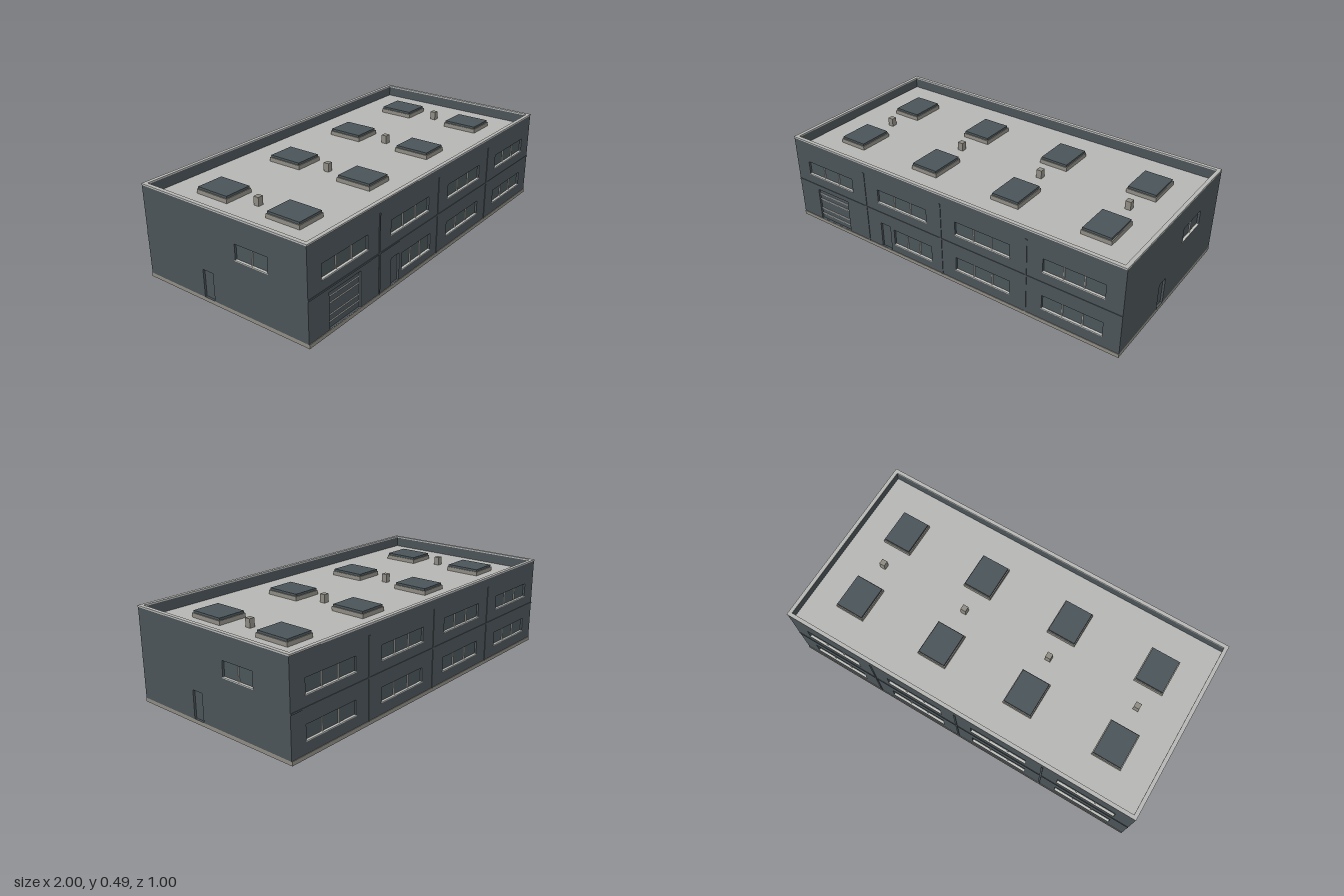
import * as THREE from 'three';

const mat = (name, color) => {
  const m = new THREE.MeshStandardMaterial({ color });
  m.name = name;
  return m;
};

export function createModel() {
  const model = new THREE.Group();
  model.name = 'officeBlock';
  const wall = mat('slateWall', 0x4a5357);
  const glass = mat('darkGlass', 0x4a5458);
  const roofing = mat('paleRoof', 0xb6b6b4);
  const trim = mat('lightTrim', 0xc0c0bc);
  const stone = mat('warmGreyStone', 0x8e8b82);

  const box = (parent, name, material, w, h, d, x, y, z) => {
    const mesh = new THREE.Mesh(new THREE.BoxGeometry(w, h, d), material);
    mesh.name = name;
    mesh.position.set(x, y, z);
    parent.add(mesh);
    return mesh;
  };

  const BASE = 0.02, TOP = 0.484, T = 0.015, FACE = 0.497, ROOF = 0.43;

  // Plinth, inner body and roof deck
  box(model, 'plinth', stone, 2, BASE, 1, 0, BASE / 2, 0);
  box(model, 'innerBody', glass, 2 - 2 * T, ROOF - 0.01 - BASE, 2 * (FACE - T), 0, (ROOF - 0.01 + BASE) / 2, 0);
  box(model, 'roofDeck', roofing, 2 - 2 * T, 0.01, 2 * (FACE - T), 0, ROOF - 0.005, 0);

  // Wall panel with openings; local z = 0 is the inner face, z = T the outer face
  function facade(name, width, openings) {
    const group = new THREE.Group();
    group.name = name;
    const half = width / 2;
    const shape = new THREE.Shape([
      [-half, BASE], [half, BASE], [half, TOP], [-half, TOP],
    ].map(p => new THREE.Vector2(...p)));
    for (const { x0, x1, y0, y1 } of openings) {
      shape.holes.push(new THREE.Path([
        [x0, y0], [x0, y1], [x1, y1], [x1, y0],
      ].map(p => new THREE.Vector2(...p))));
    }
    const panel = new THREE.Mesh(new THREE.ExtrudeGeometry(shape, { depth: T, bevelEnabled: false }), wall);
    panel.name = 'wallPanel';
    group.add(panel);

    for (const { kind, x0, x1, y0, y1, panes } of openings) {
      const w = x1 - x0, h = y1 - y0, cx = (x0 + x1) / 2, cy = (y0 + y1) / 2;
      box(group, kind, kind === 'window' ? glass : wall, w, h, 0.004, cx, cy, 0.002);
      if (kind === 'window') {
        box(group, 'windowSill', trim, w + 0.004, 0.005, T + 0.002, cx, y0, (T + 0.002) / 2);
        for (let i = 1; i < panes; i++) {
          box(group, 'mullion', trim, 0.006, h, 0.005, x0 + (w * i) / panes, cy, 0.0065);
        }
      }
      if (kind === 'garageDoor') {
        for (const y of [0.178, 0.144, 0.085, 0.052]) {
          box(group, 'garageDoorRib', trim, w, 0.005, 0.004, cx, y, 0.006);
        }
      }
    }
    model.add(group);
    return group;
  }

  const win = (cx, w, y0, y1, panes) => ({ kind: 'window', x0: cx - w / 2, x1: cx + w / 2, y0, y1, panes });
  const door = (kind, x0, x1, y1) => ({ kind, x0, x1, y0: BASE + 0.001, y1 });
  const bays = [-0.75, -0.25, 0.25, 0.75];
  const upper = bays.map(x => win(x, 0.32, 0.29, 0.365, 3));

  // Long facades
  const front = facade('frontFacade', 2, [
    ...upper,
    door('garageDoor', -0.863, -0.641, 0.207),
    door('frontDoor', -0.405, -0.34, 0.166),
    win(-0.19, 0.25, 0.065, 0.156, 3),
    win(0.25, 0.32, 0.08, 0.156, 3),
    win(0.75, 0.32, 0.08, 0.156, 3),
  ]);
  const back = facade('backFacade', 2, [...upper, ...bays.map(x => win(x, 0.32, 0.08, 0.156, 3))]);
  front.position.z = FACE - T;
  back.position.z = -(FACE - T);
  back.rotation.y = Math.PI;

  // Panel joint strips standing slightly proud of the long facades
  for (const side of [front, back]) {
    for (const x of [-0.5, 0, 0.5]) {
      box(side, 'verticalJoint', wall, 0.01, 0.42, 0.003, x, 0.225, T + 0.0015);
    }
    box(side, 'floorJoint', wall, 2, 0.008, 0.003, 0, 0.232, T + 0.0015);
  }

  // Short end walls, identical under a half turn
  for (const s of [1, -1]) {
    const end = facade(s > 0 ? 'leftEndWall' : 'rightEndWall', 2 * (FACE - T), [
      win(0.185, 0.19, 0.284, 0.364, 2),
      door('sideDoor', -0.126, -0.062, 0.166),
    ]);
    end.position.x = s * (1 - T);
    end.rotation.y = s * Math.PI / 2;
  }

  // Parapet coping
  for (const s of [1, -1]) {
    box(model, 'longCoping', roofing, 2, 0.008, 0.02, 0, TOP + 0.004, s * 0.49);
    box(model, 'shortCoping', roofing, 0.02, 0.008, 0.96, s * 0.99, TOP + 0.004, 0);
  }

  // Skylights and roof vents
  for (const x of bays) {
    for (const z of [-0.22, 0.217]) {
      box(model, 'skylightCurb', stone, 0.16, 0.022, 0.196, x, ROOF + 0.011, z);
      box(model, 'skylightGlass', glass, 0.15, 0.012, 0.186, x, ROOF + 0.028, z);
    }
    box(model, 'roofVent', stone, 0.03, 0.045, 0.03, x, ROOF + 0.0225, 0);
  }

  return model;
}
